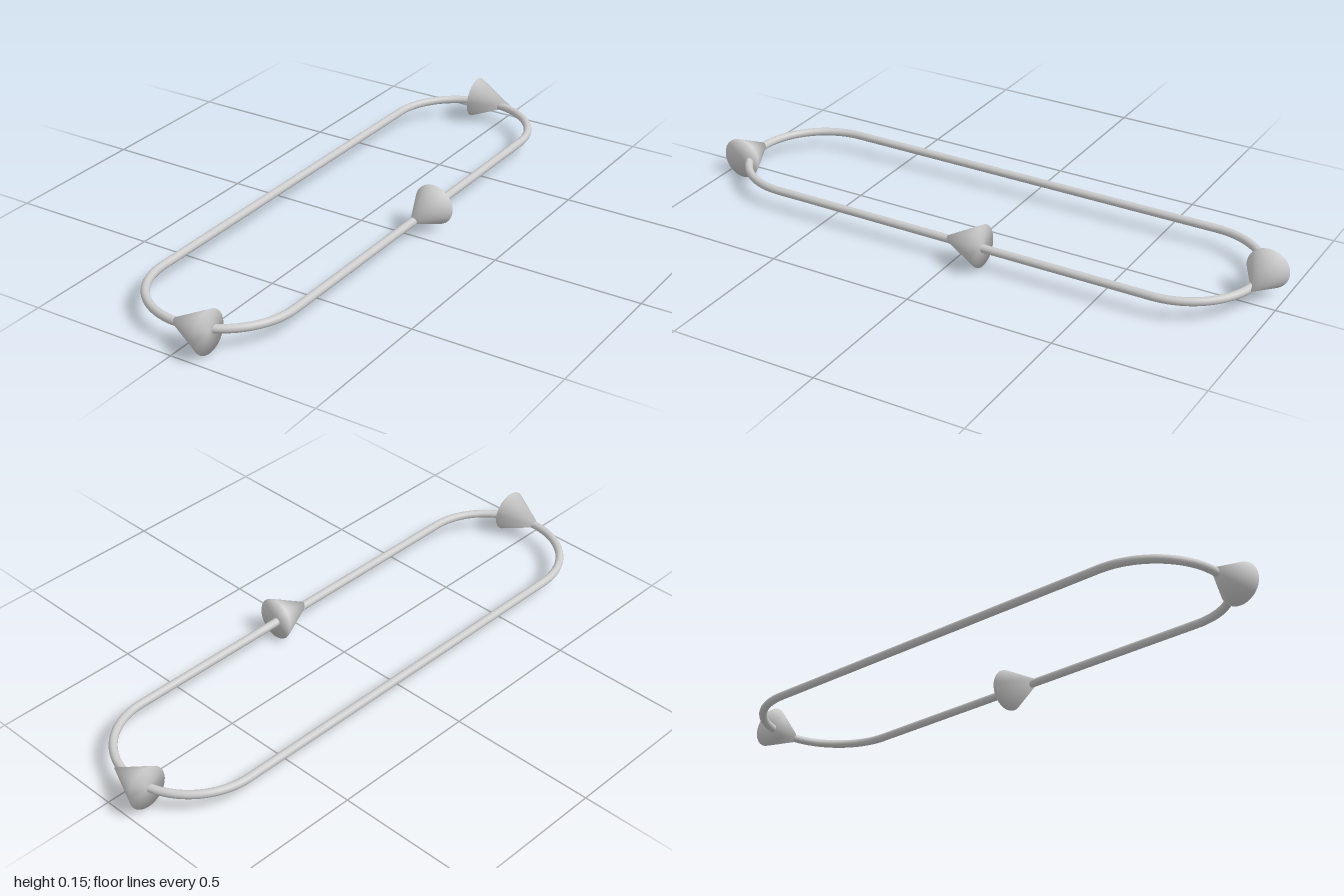
import * as THREE from 'three';
import { mergeVertices } from 'three/addons/utils/BufferGeometryUtils.js';

const CX = -0.031, Y = 0.0665, R = 0.243, HALF = 0.684, TUBE = 0.0137;

// Stadium outline: two straights joined by half circles
class LoopCurve extends THREE.Curve {
  getPoint(t, target = new THREE.Vector3()) {
    const straight = 2 * HALF, arc = Math.PI * R;
    let d = (t % 1) * 2 * (straight + arc);
    const side = d < straight + arc ? 1 : -1;
    if (side < 0) d -= straight + arc;
    if (d < straight) return target.set(CX + side * R, Y, side * (d - HALF));
    const a = (d - straight) / R;
    return target.set(CX + side * R * Math.cos(a), Y, side * (HALF + R * Math.sin(a)));
  }
}

// Closed cone with shading smoothed over the rim, placed by base centre and tip
function arrowCone(name, base, tip, material) {
  const from = new THREE.Vector3(...base), to = new THREE.Vector3(...tip);
  const axis = to.clone().sub(from);
  let geometry = new THREE.ConeGeometry(0.0705, axis.length(), 48, 1);
  geometry.deleteAttribute('normal');
  geometry.deleteAttribute('uv');
  geometry = mergeVertices(geometry, 1e-5);
  geometry.computeVertexNormals();
  const mesh = new THREE.Mesh(geometry, material);
  mesh.name = name;
  mesh.position.copy(from).add(to).multiplyScalar(0.5);
  mesh.quaternion.setFromUnitVectors(new THREE.Vector3(0, 1, 0), axis.normalize());
  return mesh;
}

export function createModel() {
  const group = new THREE.Group();
  group.name = 'arrowLoop';
  const material = new THREE.MeshStandardMaterial({ color: 0xcccccc });

  // Track
  const loop = new THREE.Mesh(new THREE.TubeGeometry(new LoopCurve(), 240, TUBE, 16, true), material);
  loop.name = 'loopTube';
  group.add(loop);

  // Direction arrows, each tipped slightly down into the track
  group.add(
    arrowCone('frontArrow', [0.0845, 0.071, 0.93], [-0.06, 0.068, 0.927], material),
    arrowCone('backArrow', [-0.101, 0.077, -0.93], [0.044, 0.069, -0.935], material),
    arrowCone('leftArrow', [0.2165, 0.0765, -0.099], [0.213, 0.068, 0.046], material),
  );
  return group;
}
